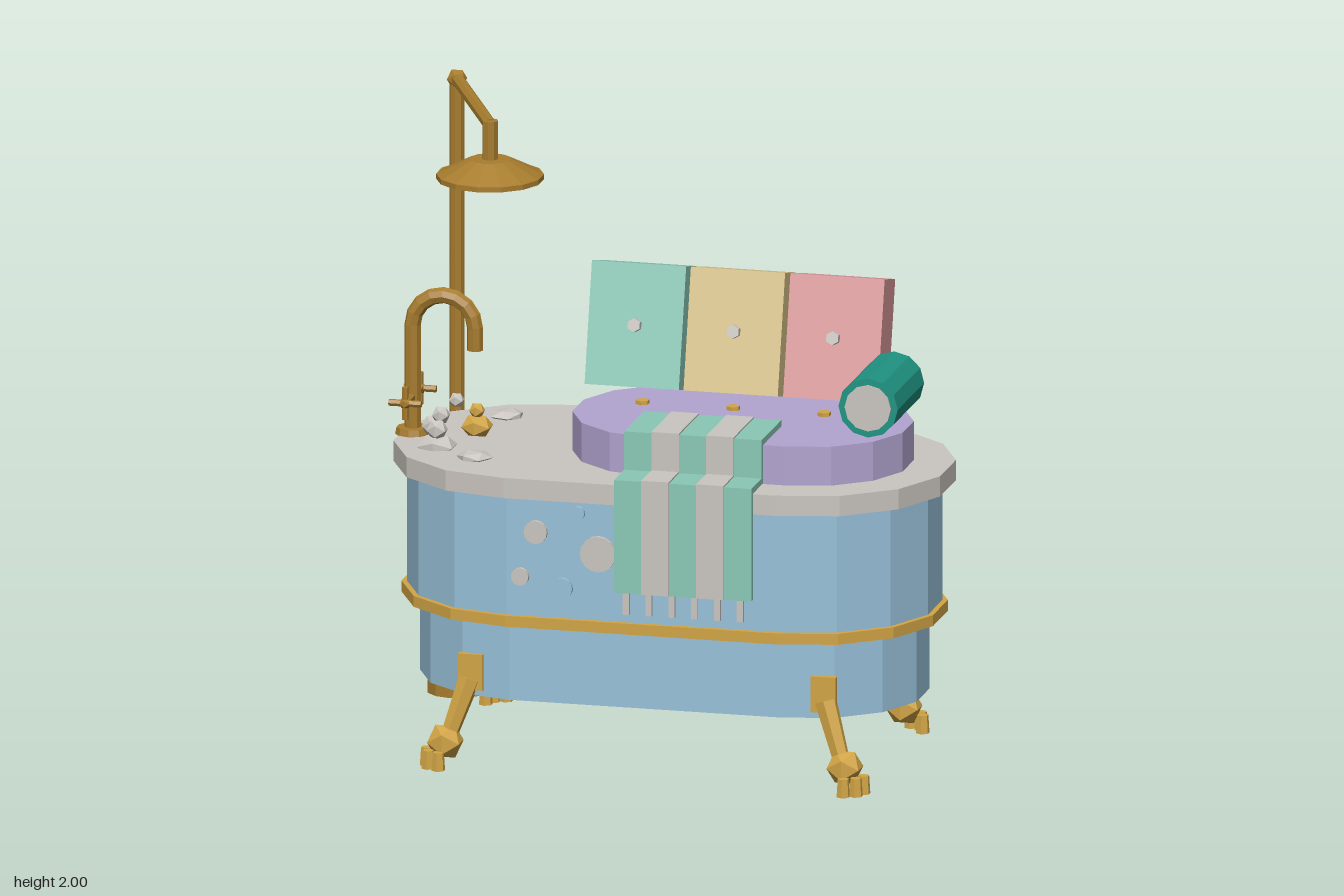
import * as THREE from 'three';

const paint = (name, color) => Object.assign(new THREE.MeshStandardMaterial({ color }), { name });

export function createModel() {
  const model = new THREE.Group();
  model.name = 'bathtub';
  const blue = paint('tub blue', 0x98c1d9), stone = paint('pale grey', 0xcac5c0);
  const gold = paint('gold', 0xd2a546), brass = paint('dark brass', 0xa87d2e);
  const lilac = paint('lilac', 0xb2a4d0), mint = paint('mint', 0x8ac8b5);
  const sand = paint('sand', 0xd9c38a), pink = paint('pink', 0xdc9a9c);
  const teal = paint('teal', 0x1f9482);
  const CX = 0.02, CZ = 0.067, RIM_TOP = 0.96;

  // Adds a faceted mesh to the model
  function add(name, geometry, material, x = 0, y = 0, z = 0) {
    const g = geometry.index ? geometry.toNonIndexed() : geometry;
    g.computeVertexNormals();
    const mesh = new THREE.Mesh(g, material);
    mesh.name = name;
    mesh.position.set(x, y, z);
    model.add(mesh);
    return mesh;
  }
  const box = (name, w, h, d, mat, x, y, z) => add(name, new THREE.BoxGeometry(w, h, d), mat, x, y, z);
  const ball = (name, r, mat, x, y, z) => add(name, new THREE.IcosahedronGeometry(r), mat, x, y, z);

  // Straight rod between two points
  function rod(name, a, b, r1, r2, mat, sides = 8) {
    const p = new THREE.Vector3(...a), q = new THREE.Vector3(...b);
    const dir = q.clone().sub(p), mid = p.clone().add(q).multiplyScalar(0.5);
    const mesh = add(name, new THREE.CylinderGeometry(r2, r1, dir.length(), sides), mat, mid.x, mid.y, mid.z);
    mesh.quaternion.setFromUnitVectors(new THREE.Vector3(0, 1, 0), dir.normalize());
    return mesh;
  }

  // Slab with straight sides and seven-sided rounded ends
  function slab(name, half, r, y0, y1, mat, x = CX, z = CZ) {
    const pts = [];
    for (const side of [1, -1]) {
      for (let i = 0; i <= 7; i++) {
        const a = -Math.PI / 2 + (i * Math.PI) / 7;
        pts.push(new THREE.Vector2(side * (half + r * Math.cos(a)), side * r * Math.sin(a)));
      }
    }
    const g = new THREE.ExtrudeGeometry(new THREE.Shape(pts), { depth: y1 - y0, bevelEnabled: false });
    return add(name, g.rotateX(-Math.PI / 2), mat, x, y0, z);
  }

  // Tub body, band, rim and seat cushion
  slab('lowerTub', 0.435, 0.37, 0.225, 0.49, blue);
  slab('upperTub', 0.435, 0.41, 0.49, 0.9, blue);
  slab('goldBand', 0.435, 0.427, 0.475, 0.51, gold);
  slab('rim', 0.435, 0.452, 0.895, RIM_TOP, stone);
  slab('seatCushion', 0.215, 0.322, RIM_TOP, 1.085, lilac, 0.24, 0.07);

  // Clawed legs
  for (const sx of [-1, 1]) {
    for (const sz of [-1, 1]) {
      const at = (dx, y, dz) => [CX + sx * dx, y, CZ + sz * dz];
      box('legPlate', 0.08, 0.115, 0.022, gold, ...at(0.565, 0.302, 0.345));
      rod('leg', at(0.57, 0.28, 0.34), at(0.635, 0.08, 0.375), 0.036, 0.026, gold, 6);
      ball('footBall', 0.06, gold, ...at(0.64, 0.08, 0.375));
      for (const turn of [-0.75, 0, 0.75]) {
        const a = 0.75 + turn;
        const dx = 0.645 + 0.055 * Math.cos(a), dz = 0.375 + 0.055 * Math.sin(a);
        add('toe', new THREE.CylinderGeometry(0.018, 0.022, 0.058, 6), gold, ...at(dx, 0.029, dz));
      }
    }
  }

  // Round spots on the front of the tub
  const spots = [[-0.32, 0.783, 0.037, stone], [-0.37, 0.637, 0.028, stone], [-0.12, 0.725, 0.057, stone],
    [-0.185, 0.852, 0.022, blue], [-0.235, 0.608, 0.033, blue]];
  for (const [x, y, r, mat] of spots) {
    add('spot', new THREE.CylinderGeometry(r, r, 0.02, 16).rotateX(Math.PI / 2), mat, x, y, 0.481);
  }

  // Leaning back cushions with buttons, and seat buttons
  [[-0.152, mint], [0.165, sand], [0.484, pink]].forEach(([x, mat], i) => {
    const tilt = 0.245;
    box('backCushion', 0.302, 0.385, 0.138, mat, x, 1.287, -0.182).rotation.x = -tilt;
    const knob = new THREE.CylinderGeometry(0.022, 0.022, 0.03, 6).rotateX(Math.PI / 2);
    add('backButton', knob, stone, x, 1.287 + 0.076 * Math.sin(tilt), -0.182 + 0.076 * Math.cos(tilt)).rotation.x = -tilt;
    add('seatButton', new THREE.CylinderGeometry(0.022, 0.022, 0.016, 6), gold, -0.1 + i * 0.291, 1.089, 0);
  });

  // Bolster with pale end discs
  add('bolster', new THREE.CylinderGeometry(0.095, 0.095, 0.335, 12).rotateX(Math.PI / 2), teal, 0.682, 1.183, 0.067);
  add('bolsterEnds', new THREE.CylinderGeometry(0.074, 0.074, 0.347, 12).rotateX(Math.PI / 2), stone, 0.682, 1.183, 0.067);

  // Striped towel stepping down over the cushion and rim
  function towelStrip(x0, width, lift, mat) {
    const t = 0.02, l = lift;
    const profile = [[0.16, 1.085], [0.39, 1.085], [0.39, 0.962], [0.52, 0.962], [0.52, 0.62],
      [0.52 + t + l, 0.62], [0.52 + t + l, 0.982 + l], [0.39 + t + l, 0.982 + l],
      [0.39 + t + l, 1.105 + l], [0.16, 1.105 + l]];
    const shape = new THREE.Shape(profile.map(([z, y]) => new THREE.Vector2(z, y)));
    const g = new THREE.ExtrudeGeometry(shape, { depth: width, bevelEnabled: false });
    add('towelStripe', g.rotateY(-Math.PI / 2), mat, x0 + width, 0, 0);
  }
  for (let i = 0; i < 5; i++) {
    towelStrip(-0.055 + i * 0.088, 0.088, i % 2 ? 0.005 : 0, i % 2 ? stone : mint);
  }
  for (let i = 0; i < 6; i++) box('towelFringe', 0.02, 0.075, 0.012, stone, -0.018 + i * 0.073, 0.587, 0.53);

  // Standing shower
  const px = -0.807, pz = -0.445, hx = -0.587, hz = 0.005;
  add('showerBase', new THREE.CylinderGeometry(0.095, 0.095, 0.04, 12), brass, px, 0.02, pz);
  rod('showerPole', [px, 0.03, pz], [px, 1.97, pz], 0.024, 0.024, brass);
  ball('showerJoint', 0.033, brass, px, 1.968, pz);
  rod('showerArm', [px, 1.968, pz], [hx, 1.95, hz], 0.021, 0.021, brass);
  rod('showerDrop', [hx, 1.965, hz], [hx, 1.83, hz], 0.025, 0.025, brass);
  add('showerHead', new THREE.CylinderGeometry(0.065, 0.165, 0.05, 14), brass, hx, 1.817, hz);
  add('showerPlate', new THREE.CylinderGeometry(0.168, 0.168, 0.016, 14), brass, hx, 1.785, hz);

  // Arched faucet
  const fx = -0.82, fz = 0.065, arch = 0.1;
  add('faucetBase', new THREE.CylinderGeometry(0.05, 0.055, 0.022, 10), brass, fx, 0.97, fz);
  rod('faucetPipe', [fx, RIM_TOP, fz], [fx, 1.31, fz], 0.026, 0.026, brass);
  const bend = new THREE.TorusGeometry(arch, 0.026, 8, 8, Math.PI);
  add('faucetArch', bend, brass, fx + arch, 1.31, fz);
  rod('faucetSpout', [fx + 2 * arch, 1.315, fz], [fx + 2 * arch, 1.24, fz], 0.026, 0.026, brass);

  // Cross taps on a bar through the faucet
  rod('tapBar', [fx, 1.08, fz - 0.1], [fx, 1.08, fz + 0.1], 0.014, 0.014, brass, 6);
  for (const s of [-1, 1]) {
    const z = fz + s * 0.095;
    rod('tapHandle', [fx - 0.052, 1.08, z], [fx + 0.052, 1.08, z], 0.011, 0.011, brass, 6);
    rod('tapHandle', [fx, 1.028, z], [fx, 1.132, z], 0.011, 0.011, brass, 6);
    ball('tapHub', 0.02, brass, fx, 1.08, z);
  }

  // Foam flakes, bubbles and a small dish on the rim
  const flakes = [[-0.706, 0.207, 0.066], [-0.585, -0.2, 0.058], [-0.56, 0.31, 0.058]];
  flakes.forEach(([x, z, r], i) => {
    const flake = ball('foamFlake', r, stone, x, 0.965, z);
    flake.scale.y = i ? 0.35 : 0.55;
    flake.rotation.y = i * 1.3;
  });
  const bubbles = [[-0.706, 1.015, 0.207, 0.035], [-0.67, 1.085, 0.1, 0.025], [-0.745, 1.0, 0.11, 0.035],
    [-0.71, 1.045, 0.14, 0.03], [-0.76, 0.985, 0.02, 0.026]];
  for (const [x, y, z, r] of bubbles) ball('bubble', r, stone, x, y, z);
  ball('dish', 0.052, gold, -0.615, 0.995, 0.06).scale.y = 0.75;
  ball('dishKnob', 0.026, gold, -0.615, 1.045, 0.06);

  return model;
}
